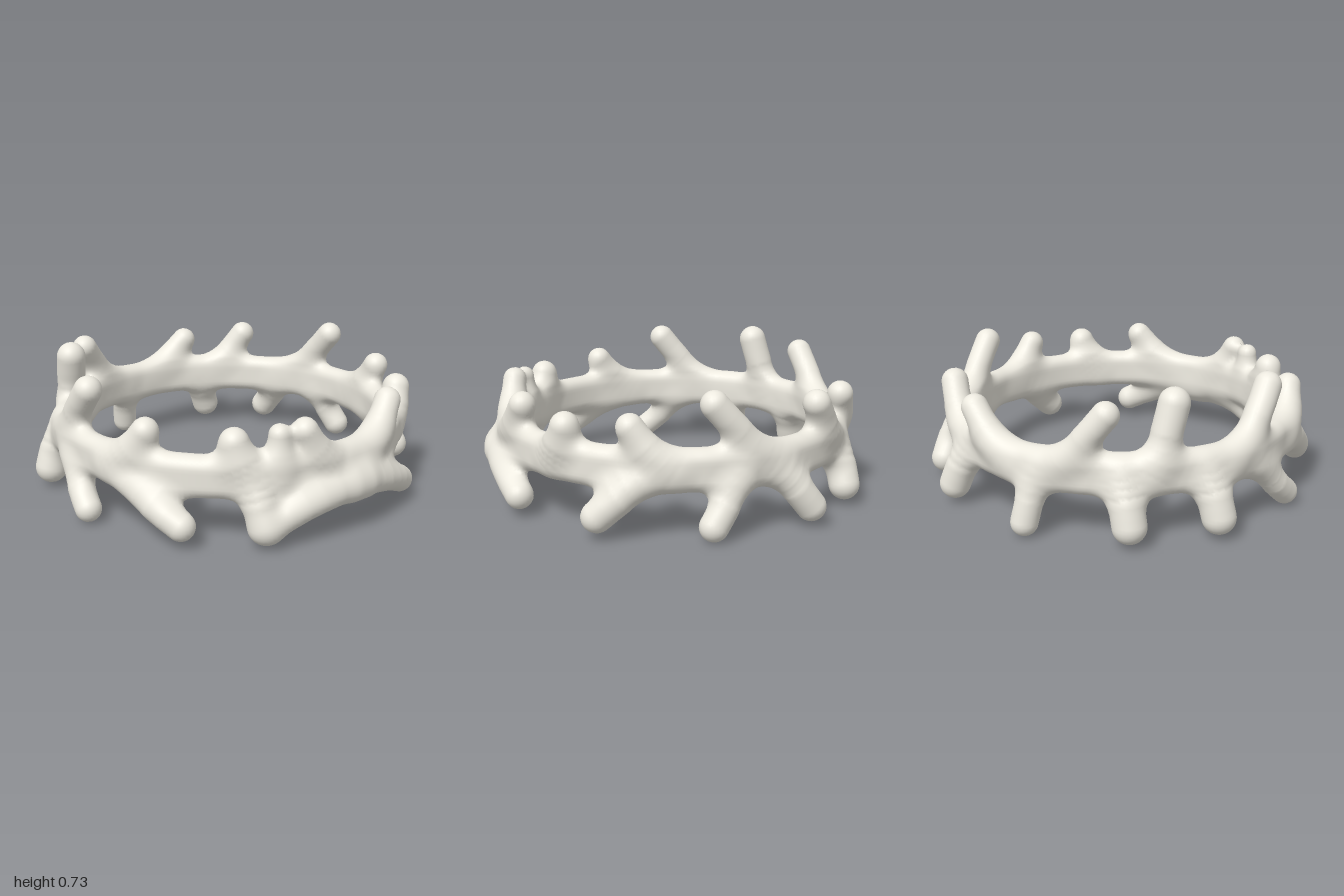
import * as THREE from 'three';

// Each branch grows from the band: [base angle, tip angle, tip radius from axis, tip y, thickness, options]
// Angles are in degrees round the y axis: 0 = front (+z), 90 = +x.
const UPPER = [
  [-26, -4.5, 0.84, 0.643, 0.069], [9, 22, 0.86, 0.528, 0.066],
  [55, 50, 0.86, 0.505, 0.07], [64, 64, 0.86, 0.53, 0.052],
  [83, 72, 0.87, 0.54, 0.062], [97, 113.5, 0.87, 0.545, 0.066],
  [130, 136.5, 0.89, 0.51, 0.07], [171, 158, 0.88, 0.537, 0.066],
  [206, 183.5, 0.85, 0.635, 0.067], [237, 222, 0.88, 0.573, 0.068],
  [264, 245.5, 0.88, 0.545, 0.066], [-85, -65.5, 0.87, 0.625, 0.066],
  [-52, -44, 0.825, 0.66, 0.075],
];
const LOWER = [
  [-15, 1, 0.92, 0.078, 0.066, { bend: 0.85 }], [10, 35, 0.945, 0.118, 0.07, { bend: 1.05 }],
  [55, 58.5, 0.93, 0.113, 0.078], [92, 60, 0.925, 0.113, 0.075, { rho: 0.905, y: 0.24, r0: 0.082, bend: 2.4 }],
  [88, 117.5, 0.935, 0.114, 0.07, { rho: 0.905, y: 0.24, r0: 0.082, bend: 1.8 }], [167, 149, 0.94, 0.118, 0.076],
  [193, 182.5, 0.92, 0.078, 0.07, { bend: 1 }], [202, 214, 0.955, 0.108, 0.074],
  [241, 236.5, 0.945, 0.113, 0.078], [273, 270, 0.932, 0.078, 0.067],
  [-61, -58.5, 0.93, 0.11, 0.083], [-34, -32, 0.94, 0.112, 0.083],
];

const BAND = { radius: 0.85, y: 0.335, half: 0.04, thick: 0.064 };
const SEGMENTS = 6;

// A branch follows the curve of the band while it rises or drops, as a chain of capsules.
// It starts slim inside the band and swells to its full thickness.
function branchCapsules([a0, a1, rho1, y1, r1, { rho = 0.865, y = 0.33, r0 = 0.042, bend = 1.3 } = {}]) {
  const point = (t) => {
    const a = THREE.MathUtils.degToRad(a0 + (a1 - a0) * t);
    const p = rho + (rho1 - rho) * t;
    return [Math.sin(a) * p, y + (y1 - y) * t ** bend, Math.cos(a) * p];
  };
  const radius = (t) => r0 + (r1 - r0) * Math.min(1, t * 1.5);
  const list = [];
  for (let i = 0; i < SEGMENTS; i++) {
    const t0 = i / SEGMENTS, t1 = (i + 1) / SEGMENTS;
    const a = point(t0), d = point(t1).map((v, k) => v - a[k]);
    list.push({ a, d, len2: d[0] ** 2 + d[1] ** 2 + d[2] ** 2, r: radius(t0), grow: radius(t1) - radius(t0) });
  }
  return list;
}

function capsuleDistance(c, x, y, z) {
  const px = x - c.a[0], py = y - c.a[1], pz = z - c.a[2];
  const t = Math.min(1, Math.max(0, (px * c.d[0] + py * c.d[1] + pz * c.d[2]) / c.len2));
  const dx = px - c.d[0] * t, dy = py - c.d[1] * t, dz = pz - c.d[2] * t;
  return Math.sqrt(dx * dx + dy * dy + dz * dz) - c.r - c.grow * t;
}

// Smooth union with fillet size k
function blend(a, b, k) {
  const h = Math.max(k - Math.abs(a - b), 0) / k;
  return Math.min(a, b) - h * h * k * 0.25;
}

// Signed distance to the band with all branches fused on
function makeField() {
  const branches = [...UPPER, ...LOWER].map(branchCapsules);
  return (x, y, z) => {
    const rho = Math.hypot(x, z);
    if (rho < 0.68 || rho > 1.07) return 0.1;
    const dy = Math.max(Math.abs(y - BAND.y) - BAND.half, 0);
    const band = Math.hypot(rho - BAND.radius, dy) - BAND.thick;
    let twigs = 1;
    for (const branch of branches) {
      let d = 1;
      for (const c of branch) d = Math.min(d, capsuleDistance(c, x, y, z));
      twigs = blend(twigs, d, 0.05);
    }
    // Keep the inner wall of the band round; tips may lean in a little above it
    const bore = 0.774 - Math.max(0, y - 0.42) * 0.3;
    return -blend(-blend(band, twigs, 0.1), rho - bore, 0.03);
  };
}

// Skin the field with quads: one vertex per cell crossed by the surface
function skin(field, min, max, step) {
  const n = min.map((v, i) => Math.ceil((max[i] - v) / step) + 1);
  const stride = [1, n[0], n[0] * n[1]];
  const values = new Float32Array(n[0] * n[1] * n[2]);
  const eachPoint = (shrink, fn) => {
    for (let k = shrink; k < n[2] - shrink; k++)
      for (let j = shrink; j < n[1] - shrink; j++)
        for (let i = shrink; i < n[0] - shrink; i++) fn([i, j, k], i + j * stride[1] + k * stride[2]);
  };
  eachPoint(0, (p, id) => {
    values[id] = field(...p.map((v, i) => min[i] + v * step));
  });

  const gradient = (p) => {
    const e = 0.006;
    return new THREE.Vector3(
      field(p.x + e, p.y, p.z) - field(p.x - e, p.y, p.z),
      field(p.x, p.y + e, p.z) - field(p.x, p.y - e, p.z),
      field(p.x, p.y, p.z + e) - field(p.x, p.y, p.z - e),
    ).normalize();
  };

  const cellVertex = new Map(), positions = [], normals = [], index = [];
  const vertexOf = (cell) => {
    if (cellVertex.has(cell)) return cellVertex.get(cell);
    const origin = [cell % n[0], Math.floor(cell / stride[1]) % n[1], Math.floor(cell / stride[2])];
    const p = new THREE.Vector3(...origin.map((v, i) => min[i] + (v + 0.5) * step));
    // Slide the cell centre onto the surface
    for (let i = 0; i < 3; i++) p.addScaledVector(gradient(p), -field(p.x, p.y, p.z));
    const id = positions.length / 3;
    positions.push(p.x, p.y, p.z);
    normals.push(...gradient(p).toArray());
    cellVertex.set(cell, id);
    return id;
  };

  eachPoint(1, (p, id) => {
    for (let axis = 0; axis < 3; axis++) {
      const inside = values[id] < 0;
      if (inside === values[id + stride[axis]] < 0) continue;
      const b = stride[(axis + 1) % 3], c = stride[(axis + 2) % 3];
      const q = [id - b - c, id - c, id, id - b].map(vertexOf);
      if (!inside) q.reverse();
      index.push(q[0], q[1], q[2], q[0], q[2], q[3]);
    }
  });

  const geometry = new THREE.BufferGeometry();
  geometry.setAttribute('position', new THREE.Float32BufferAttribute(positions, 3));
  geometry.setAttribute('normal', new THREE.Float32BufferAttribute(normals, 3));
  geometry.setIndex(index);
  return geometry;
}

export function createModel() {
  const group = new THREE.Group();
  group.name = 'branchRing';
  const material = new THREE.MeshStandardMaterial({ color: 0xece9df });
  const geometry = skin(makeField(), [-1.08, -0.06, -1.08], [1.08, 0.82, 1.08], 0.018);
  const ring = new THREE.Mesh(geometry, material);
  ring.name = 'bandWithBranches';
  group.add(ring);
  return group;
}
